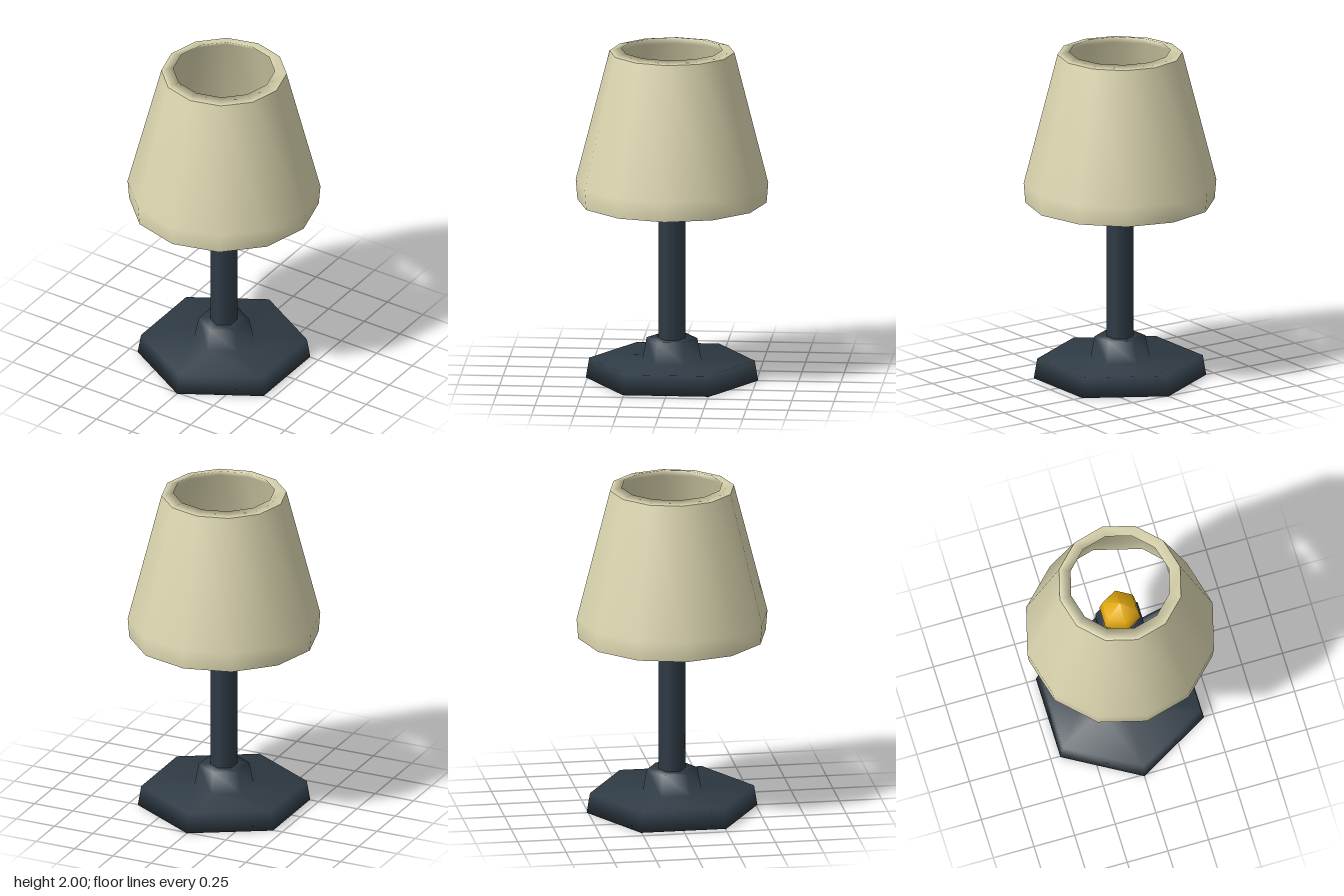
import * as THREE from 'three';

const shadeMat = new THREE.MeshStandardMaterial({ color: 0xdcd6b0 });
shadeMat.name = 'cream shade';
const metalMat = new THREE.MeshStandardMaterial({ color: 0x2f3b45 });
metalMat.name = 'dark slate metal';
const bulbMat = new THREE.MeshStandardMaterial({ color: 0xe6ac10 });
bulbMat.name = 'amber bulb';

// Turned part from [radius, height] pairs, smooth along the profile
function turned(name, profile, sides, material) {
  const points = profile.map(([r, y]) => new THREE.Vector2(r, y));
  const mesh = new THREE.Mesh(new THREE.LatheGeometry(points, sides), material);
  mesh.name = name;
  return mesh;
}

// Round rod between two points
function rod(name, from, to, radius, material) {
  const dir = to.clone().sub(from);
  const mesh = new THREE.Mesh(new THREE.CylinderGeometry(radius, radius, dir.length(), 6), material);
  mesh.position.copy(from).add(to).multiplyScalar(0.5);
  mesh.quaternion.setFromUnitVectors(new THREE.Vector3(0, 1, 0), dir.normalize());
  mesh.name = name;
  return mesh;
}

export function createModel() {
  const lamp = new THREE.Group();
  lamp.name = 'tableLamp';

  // Hexagonal foot with a raised collar
  lamp.add(turned('base', [[0, 0], [0.51, 0], [0.49, 0.12], [0.175, 0.12], [0.15, 0.25], [0.075, 0.25]], 6, metalMat));

  // Stem
  lamp.add(turned('stem', [[0.08, 0.24], [0.08, 1.2]], 6, metalMat));

  // Socket cup and bulb
  lamp.add(turned('socket', [[0.06, 1.14], [0.105, 1.14], [0.105, 1.22], [0.15, 1.28], [0.15, 1.36], [0.11, 1.39]], 6, metalMat));
  lamp.add(turned('bulb', [[0.09, 1.36], [0.125, 1.48], [0.105, 1.58], [0, 1.64]], 6, bulbMat));

  // Two arms carrying the shade
  for (const side of [1, -1]) {
    lamp.add(rod(side > 0 ? 'leftArm' : 'rightArm',
      new THREE.Vector3(side * 0.08, 1.17, 0), new THREE.Vector3(side * 0.48, 1.44, 0), 0.025, metalMat));
  }

  // Twelve-sided shade: outer skin, then rim and lining
  const shade = new THREE.Group();
  shade.name = 'shade';
  shade.add(turned('shadeOuter', [[0.56, 1.08], [0.57, 1.2], [0.37, 1.985]], 12, shadeMat));
  shade.add(turned('shadeLining', [[0.37, 1.985], [0.3, 2], [0.355, 1.95], [0.56, 1.2], [0.56, 1.08]], 12, shadeMat));
  lamp.add(shade);

  return lamp;
}
